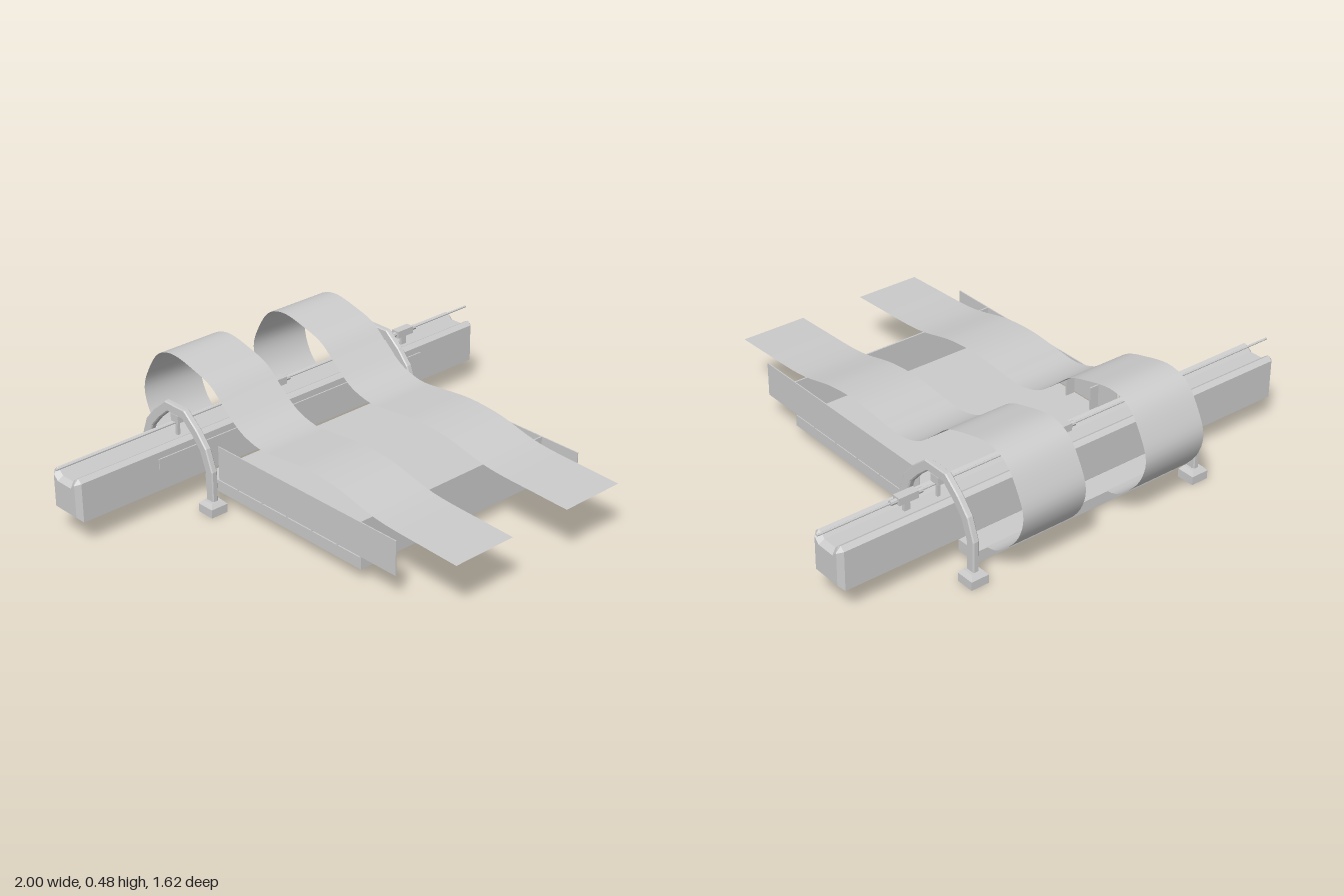
import * as THREE from 'three';

const mat = new THREE.MeshStandardMaterial({ color: 0xcccccc, flatShading: true });
const smooth = new THREE.MeshStandardMaterial({ color: 0xcccccc, side: THREE.DoubleSide });
const CZ = -0.485; // beam and arch centre line
const MX = 0.025;  // middle of tray and arches

export function createModel() {
  const group = new THREE.Group();

  const add = (name, geo, m = mat) => {
    const mesh = new THREE.Mesh(geo, m);
    mesh.name = name;
    group.add(mesh);
    return mesh;
  };
  // box given by its limits
  const box = (name, x0, x1, y0, y1, z0, z1) => {
    const mesh = add(name, new THREE.BoxGeometry(x1 - x0, y1 - y0, z1 - z0));
    mesh.position.set((x0 + x1) / 2, (y0 + y1) / 2, (z0 + z1) / 2);
    return mesh;
  };
  // profile of [z, y] points extruded along x, centred on x
  const profile = (name, pts, x, width, bevel = 0) => {
    const shape = new THREE.Shape(pts.map(([z, y]) => new THREE.Vector2(-z, y)));
    const depth = width - 2 * bevel;
    const geo = new THREE.ExtrudeGeometry(shape, {
      depth, bevelEnabled: bevel > 0, bevelSize: bevel, bevelThickness: bevel,
      bevelOffset: -bevel, bevelSegments: 1,
    });
    geo.translate(0, 0, -depth / 2);
    geo.rotateY(Math.PI / 2);
    geo.translate(x, 0, 0);
    return add(name, geo);
  };

  // Tray: floor slab, front wall, thin side panels
  box('trayFloor', -0.42, 0.47, 0.053, 0.098, -0.4, 0.415);
  box('trayFrontWall', -0.42, 0.47, 0.053, 0.237, 0.41, 0.416);
  for (const s of [-1, 1]) {
    const x = MX + s * 0.445;
    box('sidePanel', x - 0.002, x + 0.002, 0.104, 0.237, -0.32, 0.585);
    // small stiffeners inside each panel
    for (let i = 0; i < 5; i++) {
      const z = -0.22 + i * 0.13;
      const inner = x - s * 0.04;
      box('panelRib', Math.min(x, inner), Math.max(x, inner), 0.098, 0.19, z - 0.003, z + 0.003);
    }
  }
  box('rearPlate', -0.42, 0.47, 0.026, 0.07, -0.625, -0.53);

  // Long beam with a grooved top and bevelled ends
  profile('beam', [
    [-0.408, 0.1], [-0.408, 0.25], [-0.425, 0.265], [-0.44, 0.257], [-0.455, 0.242],
    [-0.515, 0.242], [-0.53, 0.257], [-0.545, 0.265], [-0.562, 0.25], [-0.562, 0.1],
  ], 0, 1.94, 0.018);
  box('beamStrip', -0.62, 0.67, 0.185, 0.225, -0.408, -0.403);

  // Cable above the beam, with its clips
  const cable = add('cable', new THREE.CylinderGeometry(0.004, 0.004, 2, 8));
  cable.rotation.z = Math.PI / 2;
  cable.position.set(0, 0.293, CZ);
  for (const x of [-0.005, 0.65]) {
    box('clipBody', x - 0.04, x + 0.04, 0.28, 0.308, CZ - 0.017, CZ + 0.017);
    const sleeve = add('clipSleeve', new THREE.CylinderGeometry(0.01, 0.01, 0.13, 8));
    sleeve.rotation.z = Math.PI / 2;
    sleeve.position.set(x, 0.293, CZ);
    box('clipStem', x - 0.012, x + 0.012, 0.24, 0.285, CZ - 0.006, CZ + 0.006);
  }

  // Arches standing over the beam
  const outer = [[0.201, 0.045], [0.201, 0.165], [0.17, 0.248], [0.12, 0.305], [0.055, 0.359]];
  const inner = [[0.163, 0.045], [0.163, 0.157], [0.135, 0.23], [0.095, 0.275], [0.042, 0.321]];
  const mirrored = (pts) => [...pts, ...pts.map(([z, y]) => [-z, y]).reverse()];
  const archPts = [...mirrored(outer), ...mirrored(inner).reverse()].map(([z, y]) => [CZ + z, y]);
  for (const s of [-1, 1]) {
    const x = MX + s * 0.495;
    profile('arch', archPts, x, 0.025, 0.004);
    box('archHanger', x - 0.014, x + 0.014, 0.295, 0.325, CZ - 0.02, CZ + 0.02);
    box('hangerStem', x - 0.006, x + 0.006, 0.24, 0.3, CZ - 0.006, CZ + 0.006);
    for (const t of [-1, 1]) {
      const z = CZ + t * 0.185;
      box('foot', x - 0.036, x + 0.036, 0, 0.033, z - 0.036, z + 0.036);
      const cap = add('footCap', new THREE.CylinderGeometry(0.033, 0.051, 0.015, 4).rotateY(Math.PI / 4));
      cap.position.set(x, 0.0405, z);
    }
  }

  // Two wide ribbons looping over the beam and down to the rear plate
  const path = new THREE.CatmullRomCurve3([
    [0.81, 0.22], [0.675, 0.225], [0.437, 0.238], [0.24, 0.28], [0.095, 0.29], [-0.06, 0.277],
    [-0.155, 0.272], [-0.255, 0.3], [-0.34, 0.363], [-0.415, 0.424], [-0.5, 0.453], [-0.63, 0.476],
    [-0.71, 0.45], [-0.775, 0.363], [-0.805, 0.28], [-0.78, 0.19], [-0.71, 0.11], [-0.66, 0.078],
    [-0.62, 0.07],
  ].map(([z, y]) => new THREE.Vector3(0, y, z)));
  const steps = 90;
  const line = path.getSpacedPoints(steps);
  for (const x of [-0.2375, 0.2925]) {
    const geo = new THREE.PlaneGeometry(0.265, 1, 1, steps);
    const pos = geo.attributes.position;
    for (let i = 0; i < pos.count; i++) {
      const p = line[steps - Math.floor(i / 2)];
      pos.setXYZ(i, x + pos.getX(i), p.y, p.z);
    }
    geo.computeVertexNormals();
    add('ribbon', geo, smooth);
  }

  return group;
}
